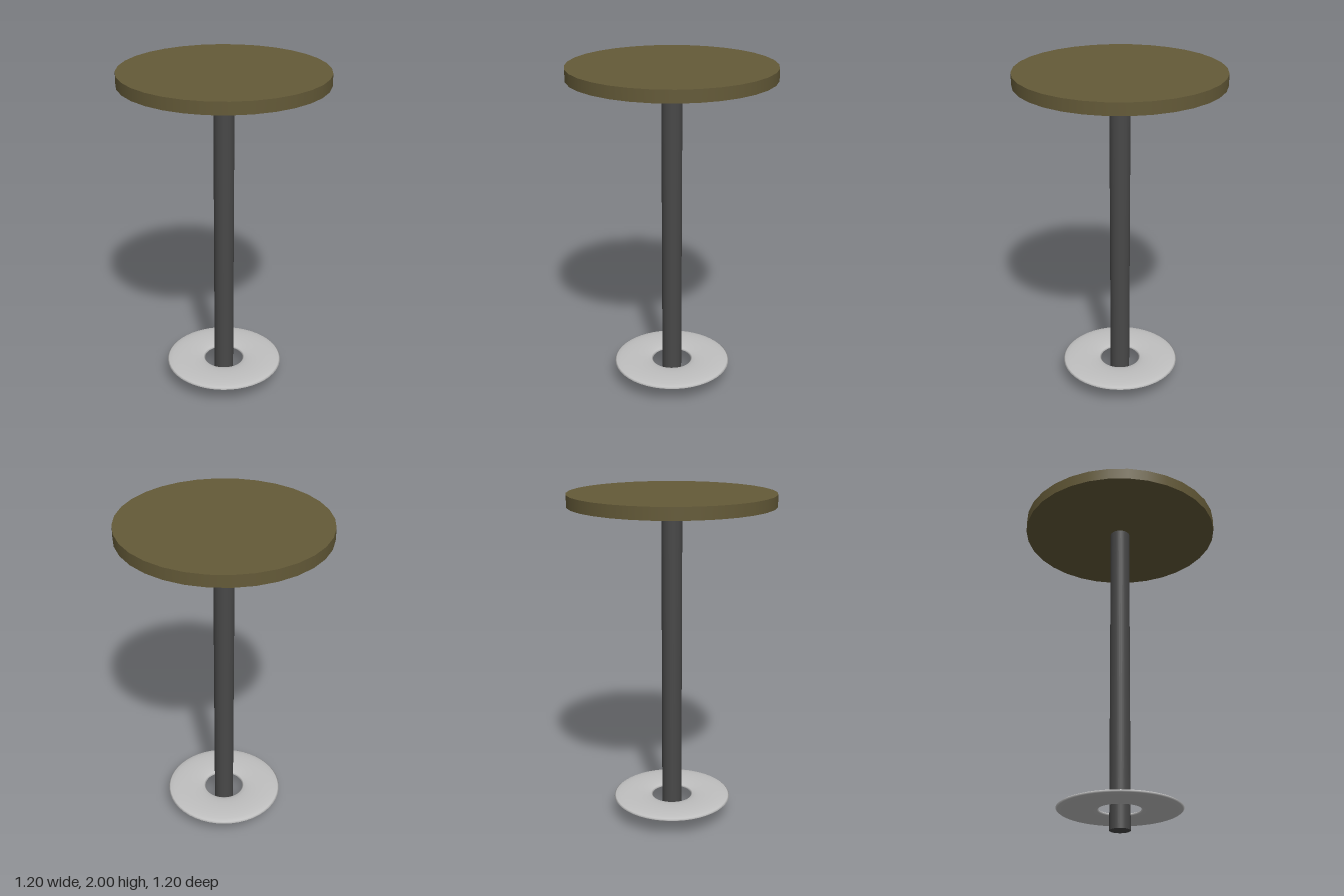
import * as THREE from 'three';

const material = (name, color) => {
  const m = new THREE.MeshStandardMaterial({ color });
  m.name = name;
  return m;
};

export function createModel() {
  const group = new THREE.Group();
  group.name = 'pedestalTable';

  const add = (name, geometry, mat, y) => {
    const mesh = new THREE.Mesh(geometry, mat);
    mesh.name = name;
    mesh.position.y = y;
    group.add(mesh);
  };

  const wood = material('oliveWood', 0x645a38);
  const darkMetal = material('darkMetal', 0x484848);
  const silver = material('silverMetal', 0xc0c0c0);

  // Round top, 0.07 thick
  add('tabletop', new THREE.CylinderGeometry(0.6, 0.6, 0.07, 32), wood, 1.965);

  // Central post, from the floor to the underside of the top
  add('post', new THREE.CylinderGeometry(0.06, 0.06, 1.93, 32), darkMetal, 0.965);

  // Flattened foot ring, floating clear of the post
  const ring = new THREE.TorusGeometry(0.24, 0.12, 16, 48);
  ring.rotateX(Math.PI / 2);
  ring.scale(1, 0.15, 1);
  add('footRing', ring, silver, 0.122);

  return group;
}
